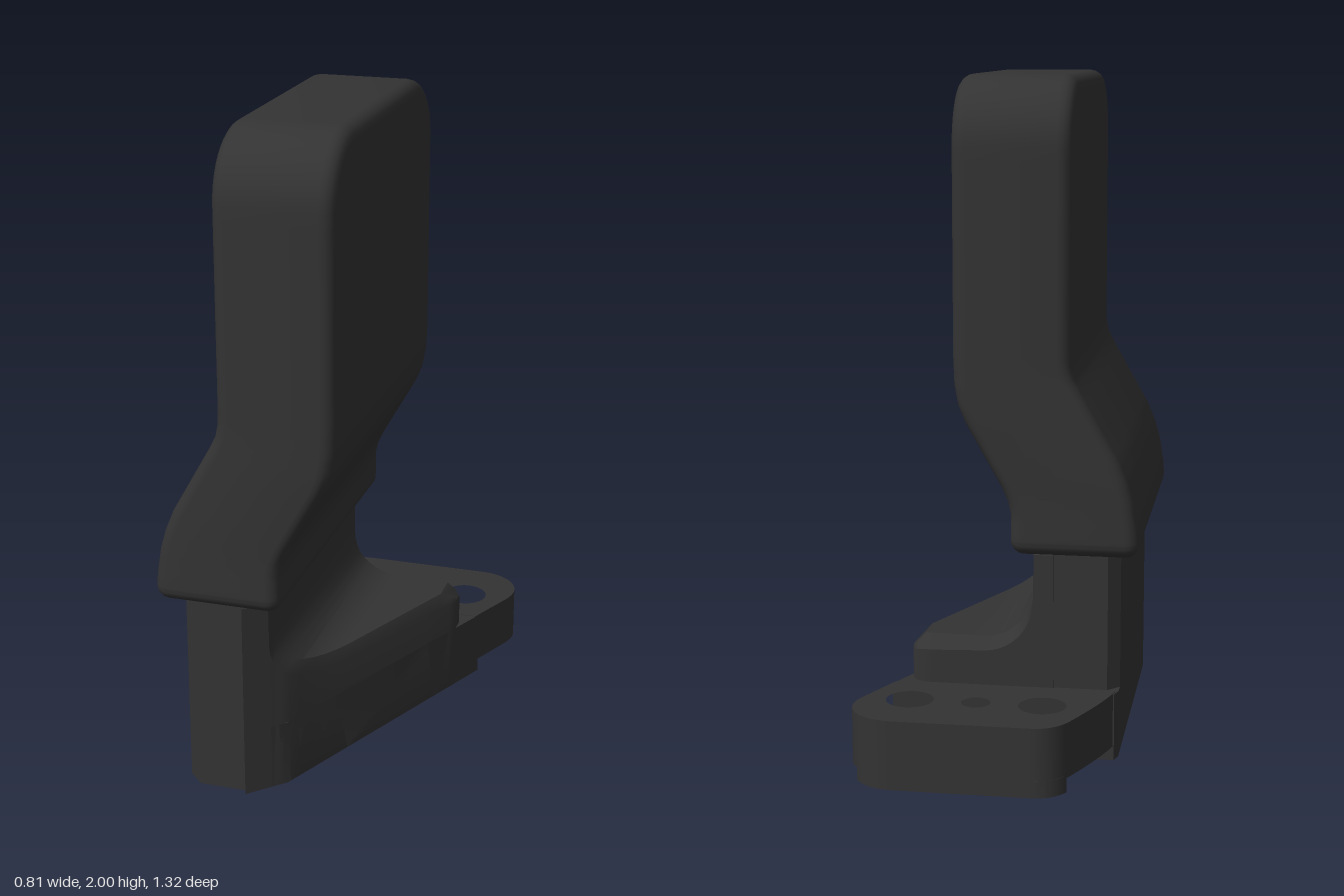
import * as THREE from 'three';
import { toCreasedNormals } from 'three/addons/utils/BufferGeometryUtils.js';

const material = new THREE.MeshStandardMaterial({ color: 0x333333 });

// Skin a list of equal-length closed rings; optionally close the ends with fans
function loft(rings, capped) {
  const n = rings[0].length, index = [];
  for (let i = 0; i < rings.length - 1; i++) {
    for (let j = 0; j < n; j++) {
      const a = i * n + j, b = i * n + (j + 1) % n, d = a + n, c = b + n;
      index.push(a, d, c, a, c, b);
    }
  }
  if (capped) {
    const e = (rings.length - 1) * n;
    for (let j = 1; j < n - 1; j++) index.push(0, j, j + 1, e, e + j + 1, e + j);
  }
  const g = new THREE.BufferGeometry();
  g.setAttribute('position', new THREE.Float32BufferAttribute(rings.flat(2), 3));
  g.setIndex(index);
  return toCreasedNormals(g, 0.6);
}

// Extrude a plan shape (x, -z) upwards from y0 to y1
function slab(shape, y0, y1) {
  const g = new THREE.ExtrudeGeometry(shape, { depth: y1 - y0, bevelEnabled: false, curveSegments: 16 });
  g.rotateX(-Math.PI / 2).translate(0, y0, 0);
  return toCreasedNormals(g, 0.5);
}

const plan = pts => new THREE.Shape(pts.map(([x, z]) => new THREE.Vector2(x, -z)));

function interpolate(table, y) {
  for (let i = 1; i < table.length; i++) {
    const [y0, x0] = table[i - 1], [y1, x1] = table[i];
    if (y <= y1) return x0 + (x1 - x0) * Math.max(0, (y - y0) / (y1 - y0));
  }
  return table[table.length - 1][1];
}

// Cranked pad: rounded side outline, with the x faces following two bent profiles
function padGeometry() {
  const right = [[0.62, -0.405], [0.7, -0.4], [0.78, -0.387], [0.84, -0.37], [0.9, -0.345], [1.1, -0.232],
    [1.14, -0.212], [1.18, -0.204], [1.24, -0.203], [2, -0.203]];
  const left = [[0.62, -0.027], [0.74, -0.027], [0.78, -0.018], [0.82, 0], [1.01, 0.107], [1.06, 0.127],
    [1.12, 0.138], [1.2, 0.141], [2, 0.142]];
  const half = 0.515, midZ = 0.145, y0 = 0.62, y1 = 2, low = 0.045, high = 0.2, fillet = 0.04;

  // half outline from bottom centre to top centre: [w, y, normal w, normal y]
  const outline = [[0, y0, 0, -1]];
  const arc = (r, cy, from) => {
    for (let k = 0; k <= 10; k++) {
      const a = from + k * Math.PI / 20, c = Math.cos(a), s = Math.sin(a);
      outline.push([half - r + r * c, cy + r * s, c, s]);
    }
  };
  arc(low, y0 + low, -Math.PI / 2);
  for (let y = 0.68; y < 1.78; y += 0.02) outline.push([half, y, 1, 0]);
  arc(high, y1 - high, 0);
  outline.push([0, y1, 0, 1]);

  const steps = 8;
  const rings = outline.map(([w, y, nw, ny]) => {
    const side = [];
    for (let k = 0; k <= steps; k++) {
      const a = Math.PI / 2 * (1 - 2 * k / steps);
      const inset = fillet * (1 - Math.cos(a)), py = y - ny * inset;
      const dx = fillet * (1 - Math.abs(Math.sin(a)));
      const x = a > 0 ? interpolate(left, py) - dx : interpolate(right, py) + dx;
      // the middle of the rim is flat between the two fillets
      if (k === steps / 2) side.push([interpolate(left, py) - fillet, py, w - nw * inset]);
      side.push([x, py, w - nw * inset]);
    }
    return [...side.map(([x, py, z]) => [x, py, midZ + z]),
      ...side.slice().reverse().map(([x, py, z]) => [x, py, midZ - z])];
  });
  return loft(rings, false);
}

// Step beside the column: concave fillet running down to a chamfered ledge
function stepGeometry() {
  const stations = [[-0.15, 0.64, 0.03, 0], [-0.09, 0.64, 0.03, 0]]; // x, height, chamfer, back corner
  for (let k = 0; k <= 10; k++) {
    const a = k * Math.PI / 20;
    stations.push([-0.089 + 0.15 * (1 - Math.cos(a)), 0.505 - 0.16 * Math.sin(a), 0.035, 0]);
  }
  stations.push([0.22, 0.345, 0.04, 0], [0.24, 0.345, 0.04, 0.003], [0.265, 0.32, 0.02, 0.015], [0.28, 0.305, 0.008, 0.04]);
  return loft(stations.map(([x, h, c, back]) => {
    const front = x < -0.05 ? 0.47 - x : 0.52 - (x + 0.05) * 2.25;
    const rear = -0.305 + back;
    return [[0, front], [h - c, front], [h, front - c], [h, rear + c], [h - c, rear], [0, rear]]
      .map(([y, z]) => [x, y, z]);
  }), true);
}

// Mounting flange with rounded far corners and three through holes
function flangeShape() {
  const s = new THREE.Shape();
  s.moveTo(-0.335, 0.32);
  s.quadraticCurveTo(-0.31, 0.42, -0.235, 0.585);
  s.quadraticCurveTo(-0.2, 0.66, -0.13, 0.66);
  s.lineTo(0.265, 0.66);
  s.bezierCurveTo(0.36, 0.66, 0.435, 0.575, 0.392, 0.475);
  s.lineTo(0.323, 0.32);
  for (const [x, r] of [[-0.14, 0.07], [0.055, 0.043], [0.25, 0.07]]) {
    s.holes.push(new THREE.Path().absarc(x, 0.47, r, 0, Math.PI * 2, true));
  }
  return s;
}

// Low lip under the far edge of the flange
function lipShape() {
  const s = new THREE.Shape();
  s.moveTo(-0.228, 0.6);
  s.quadraticCurveTo(-0.195, 0.66, -0.13, 0.66);
  s.lineTo(0.265, 0.66);
  s.quadraticCurveTo(0.335, 0.66, 0.38, 0.6);
  return s;
}

export function createModel() {
  const model = new THREE.Group();
  const add = (name, geometry) => {
    const mesh = new THREE.Mesh(geometry, material);
    mesh.name = name;
    model.add(mesh);
  };

  add('pad', padGeometry());
  add('column', slab(plan([[-0.3, 0.6], [-0.13, 0.6], [-0.09, 0.56], [-0.09, -0.265], [-0.125, -0.3],
    [-0.31, -0.3], [-0.345, -0.265], [-0.345, 0.555]].reverse()), 0, 0.66));
  add('step', stepGeometry());
  add('baseBlock', slab(plan([[-0.3, 0.6], [-0.13, 0.6], [-0.05, 0.52], [0.33, -0.335],
    [-0.335, -0.335], [-0.345, -0.3], [-0.345, 0.555]].reverse()), 0, 0.204));
  add('flange', slab(flangeShape(), 0.042, 0.206));
  add('flangeLip', slab(lipShape(), 0, 0.05));
  return model;
}
